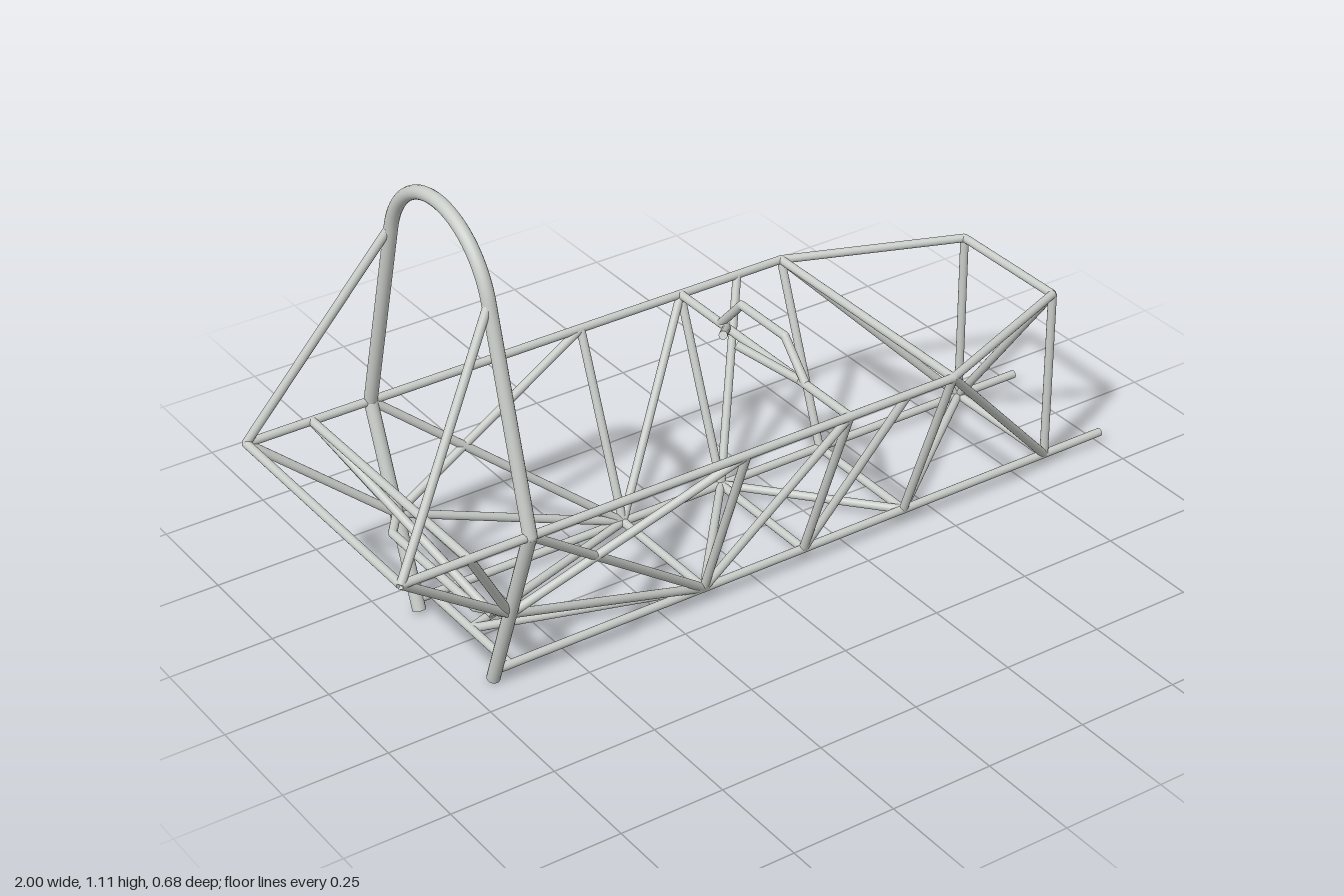
import * as THREE from 'three';

export function createModel() {
  const model = new THREE.Group();
  model.name = 'tubeChassis';
  const steel = new THREE.MeshStandardMaterial({ color: 0xc9cdc9 });
  steel.name = 'light grey steel';
  const R = 0.01, HOOP = 0.0155;

  const add = (name, geometry, parent = model) => {
    const mesh = new THREE.Mesh(geometry, steel);
    mesh.name = name;
    parent.add(mesh);
    return mesh;
  };

  // Straight round tube between two points
  const tube = (name, a, b, r = R, parent = model) => {
    const p = new THREE.Vector3(...a), q = new THREE.Vector3(...b);
    const dir = q.clone().sub(p);
    const mesh = add(name, new THREE.CylinderGeometry(r, r, dir.length(), 16), parent);
    mesh.position.copy(p).add(q).multiplyScalar(0.5);
    mesh.quaternion.setFromUnitVectors(new THREE.Vector3(0, 1, 0), dir.normalize());
  };

  // Bent tube: straight runs with rounded joints
  const bentTube = (name, pts, r = R) => {
    const group = new THREE.Group();
    group.name = name;
    model.add(group);
    for (let i = 1; i < pts.length; i++) tube(name + 'Run', pts[i - 1], pts[i], r, group);
    for (const p of pts.slice(1, -1)) add(name + 'Joint', new THREE.SphereGeometry(r, 16, 12), group).position.set(...p);
  };

  // Frame stations
  const BOT = 0.03, TOP = 0.462, NARROW = 0.162, WIDE = 0.324;
  const REAR = -0.99, MID = -0.83, HX = -0.684, SEAT = -0.14, DASH = 0.132, FOOT = 0.415, NOSE = 0.83;
  const lo = (x, s) => [x, BOT, s * NARROW];
  const hi = (x, s) => [x, TOP, s * WIDE];
  const noseTop = s => [NOSE, TOP, s * NARROW];
  const hoopLow = s => [HX, 0.218, s * 0.234];

  // Main roll hoop: splayed legs and a round top
  const arcR = 0.2, arcY = 0.9, tilt = 0.257;
  const shoulder = s => [HX, arcY + arcR * Math.sin(tilt), s * arcR * Math.cos(tilt)];
  for (const s of [1, -1]) bentTube('mainHoopLeg', [[HX, 0.006, s * 0.155], hi(HX, s), shoulder(s)], HOOP);
  const arc = new THREE.TorusGeometry(arcR, HOOP, 16, 40, Math.PI - 2 * tilt);
  arc.rotateZ(tilt);
  arc.rotateY(Math.PI / 2);
  add('mainHoopTop', arc).position.set(HX, arcY, 0);

  // Mirrored side tubes
  for (const s of [1, -1]) {
    tube('lowerRail', lo(HX, s), lo(1, s));
    bentTube('upperRail', [hi(REAR, s), hi(FOOT, s), noseTop(s)]);
    tube('noseUpright', lo(NOSE, s), noseTop(s));
    for (const x of [SEAT, DASH, FOOT]) tube('sideUpright', lo(x, s), hi(x, s));
    tube('sideDiagonal', lo(SEAT, s), hi(DASH, s));
    tube('sideDiagonal', lo(DASH, s), hi(0.29, s));
    tube('noseDiagonal', hi(FOOT, s), lo(NOSE, s));
    tube('cockpitDiagonal', hi(HX, s), lo(SEAT, s));
    tube('cockpitDiagonal', hoopLow(s), lo(SEAT, s));
    tube('cockpitDiagonal', hoopLow(s), hi(SEAT, s));
    tube('rearLowerBrace', hi(REAR, s), hoopLow(s));
    tube('rearLowerBrace', hi(MID, s), hoopLow(s));
    tube('hoopBrace', hi(REAR, s), [HX, 0.955, s * 0.194]);
    tube('floorBrace', [-0.645, BOT, 0], lo(SEAT, s));
    tube('steeringSupport', [DASH, TOP, s * 0.14], [0.042, 0.527, s * 0.025]);
  }

  // Crossbars
  for (const x of [-0.645, SEAT, DASH, FOOT, NOSE]) tube('floorCrossbar', lo(x, 1), lo(x, -1));
  for (const x of [REAR, MID, DASH, FOOT]) tube('upperCrossbar', hi(x, 1), hi(x, -1));
  tube('noseCrossbar', noseTop(1), noseTop(-1));

  // Single diagonals
  tube('noseFaceDiagonal', noseTop(1), lo(NOSE, -1));
  tube('floorDiagonal', lo(SEAT, 1), lo(DASH, -1));
  tube('floorDiagonal', lo(DASH, -1), lo(FOOT, 1));
  tube('floorDiagonal', lo(FOOT, 1), lo(NOSE, -1));
  tube('rearDiagonal', hi(MID, -1), [-0.715, 0.218, 0.215]);

  // Bent bar behind the seat and small hoop over the dash
  bentTube('seatBackBar', [hoopLow(1), [-0.732, 0.218, 0.17], [-0.732, 0.218, -0.17], hoopLow(-1)]);
  bentTube('dashHoop', [[DASH, TOP, 0.163], [DASH, 0.547, 0.083], [DASH, 0.547, -0.083], [DASH, TOP, -0.163]]);

  return model;
}
